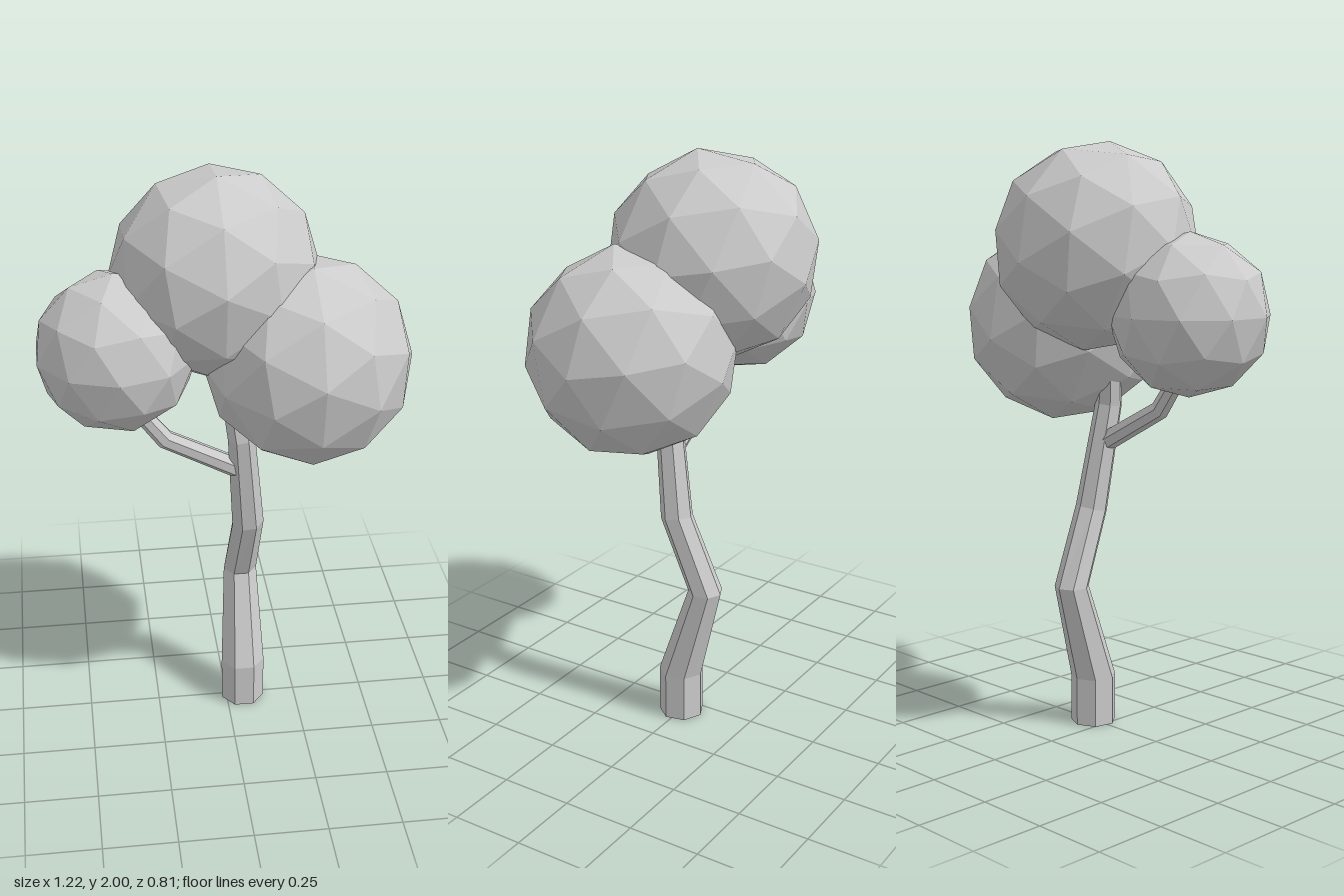
import * as THREE from 'three';

const SIDES = 7;
const material = new THREE.MeshStandardMaterial({ color: 0xcccccc, flatShading: true });
const UP = new THREE.Vector3(0, 1, 0);

function addMesh(group, name, geometry) {
  const mesh = new THREE.Mesh(geometry, material);
  mesh.name = name;
  group.add(mesh);
  return mesh;
}

// Capped seven-sided limb through rings of [x, y, z, radius, axis direction (default up)]
function limbGeometry(rings) {
  const pos = [], index = [];
  for (const [x, y, z, r, axis = [0, 1, 0]] of rings) {
    const q = new THREE.Quaternion().setFromUnitVectors(UP, new THREE.Vector3(...axis).normalize());
    for (let i = 0; i < SIDES; i++) {
      const a = (i / SIDES) * Math.PI * 2;
      const v = new THREE.Vector3(Math.sin(a) * r, 0, -Math.cos(a) * r).applyQuaternion(q);
      pos.push(x + v.x, y + v.y, z + v.z);
    }
  }
  for (let k = 0; k < rings.length - 1; k++) {
    for (let i = 0; i < SIDES; i++) {
      const a = k * SIDES + i, b = k * SIDES + (i + 1) % SIDES;
      index.push(a, a + SIDES, b, b, a + SIDES, b + SIDES);
    }
  }
  // end caps
  const top = (rings.length - 1) * SIDES;
  for (let i = 1; i < SIDES - 1; i++) {
    index.push(0, i, i + 1, top, top + i + 1, top + i);
  }
  const g = new THREE.BufferGeometry();
  g.setAttribute('position', new THREE.Float32BufferAttribute(pos, 3));
  g.setIndex(index);
  g.computeVertexNormals();
  return g;
}

// Faceted ball with one five-fold corner pointing along +x
function crownGeometry(radius) {
  return new THREE.IcosahedronGeometry(radius, 1).rotateY(Math.atan2(2, 1 + Math.sqrt(5)));
}

export function createModel() {
  const tree = new THREE.Group();
  tree.name = 'tree';

  // bent, tapering trunk
  addMesh(tree, 'trunk', limbGeometry([
    [0.058, 0, 0.003, 0.079],
    [0.058, 0.165, 0.003, 0.079],
    [0.06, 0.5, -0.097, 0.06],
    [0.073, 0.76, 0.01, 0.056, [-0.1, 1, 0.2]],
    [0.042, 1.12, 0.062, 0.047, [-0.12, 1, 0.08]],
    [-0.01, 1.45, 0.02, 0.035],
  ]));

  // side branches carrying the lower crowns
  addMesh(tree, 'rightBranch', limbGeometry([
    [0.05, 0.985, 0.045, 0.036, [-1, 0.5, 0]],
    [-0.21, 1.125, 0.055, 0.033, [-1, 0.8, 0]],
    [-0.34, 1.29, 0.04, 0.028, [-0.7, 1, 0]],
  ]));
  addMesh(tree, 'leftBranch', limbGeometry([
    [0.04, 1.1, 0.06, 0.034, [0.8, 1, 0]],
    [0.22, 1.3, 0.06, 0.028, [0.8, 1, 0]],
  ]));

  // leaf crowns
  const tilt = THREE.MathUtils.degToRad(82);
  addMesh(tree, 'topCrown', crownGeometry(0.345).rotateX(tilt)).position.set(-0.03, 1.66, -0.065);
  addMesh(tree, 'leftCrown', crownGeometry(0.345).rotateX(tilt)).position.set(0.26, 1.393, 0.06);
  addMesh(tree, 'rightCrown', crownGeometry(0.265).rotateZ(Math.PI / 2).rotateY(Math.PI / 2))
    .position.set(-0.362, 1.445, 0.028);

  return tree;
}
